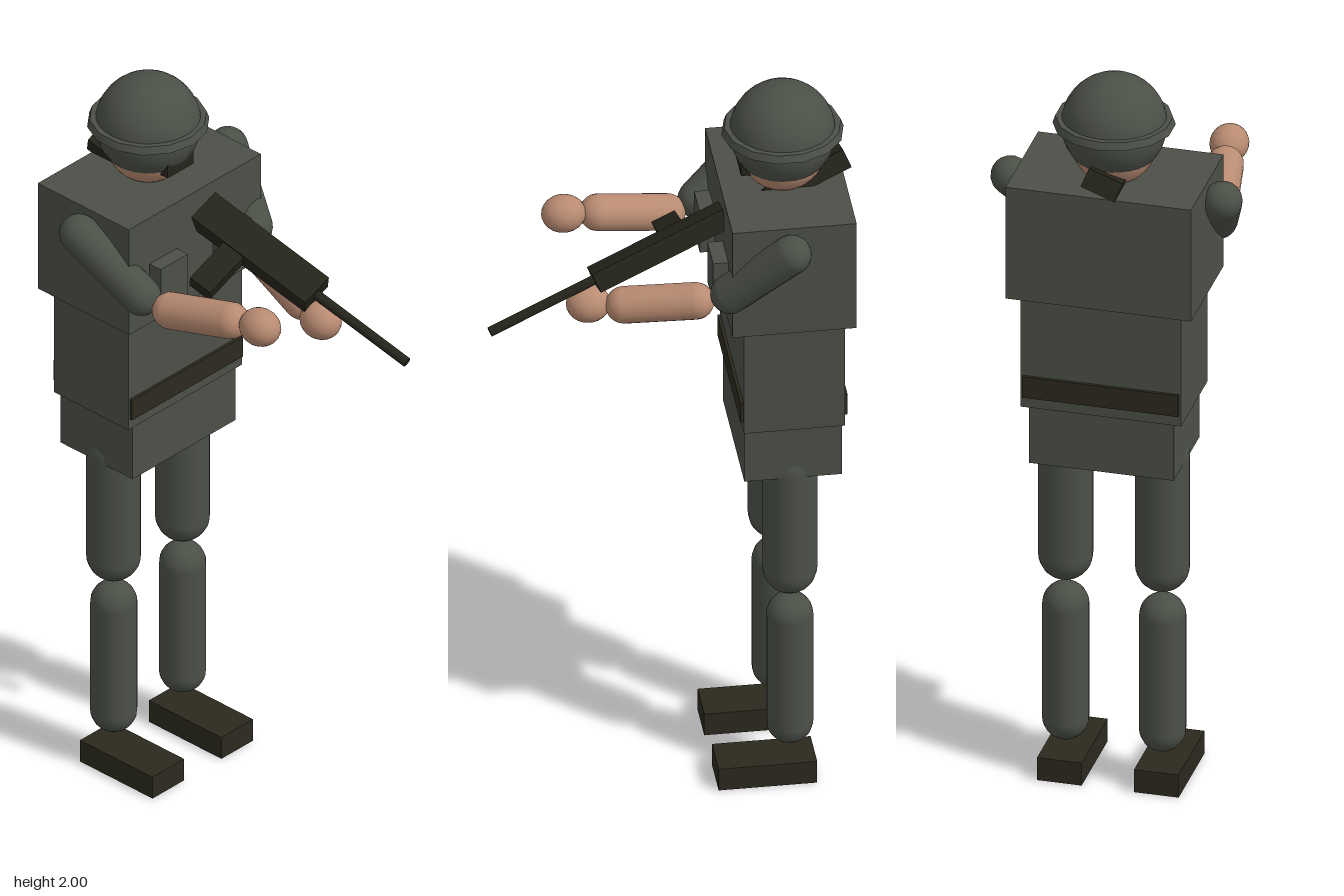
import * as THREE from 'three';

const material = (name, color) => {
  const m = new THREE.MeshStandardMaterial({ color });
  m.name = name;
  return m;
};

export function createModel() {
  const cloth = material('grey green cloth', 0x4b5047);
  const skin = material('skin', 0xb98b72);
  const leather = material('dark leather', 0x2b291e);
  const gunmetal = material('dark gunmetal', 0x25241b);

  const model = new THREE.Group();
  model.name = 'standingFigure';
  const BODY_Z = -0.302;

  const add = (name, geometry, mat, x, y, z, parent = model) => {
    const mesh = new THREE.Mesh(geometry, mat);
    mesh.name = name;
    mesh.position.set(x, y, z);
    parent.add(mesh);
    return mesh;
  };
  const box = (name, w, h, d, mat, x, y, z, parent) =>
    add(name, new THREE.BoxGeometry(w, h, d), mat, x, y, z, parent);

  // Capsule whose end-cap centres sit at a and b
  const limb = (name, a, b, r, mat) => {
    const start = new THREE.Vector3(...a);
    const end = new THREE.Vector3(...b);
    const dir = end.clone().sub(start);
    const mid = start.clone().add(end).multiplyScalar(0.5);
    const mesh = add(name, new THREE.CapsuleGeometry(r, dir.length(), 8, 18), mat, mid.x, mid.y, mid.z);
    mesh.quaternion.setFromUnitVectors(new THREE.Vector3(0, 1, 0), dir.normalize());
    return mesh;
  };

  // Torso
  box('chest', 0.486, 0.317, 0.317, cloth, 0, 1.57, -0.298);
  box('abdomen', 0.42, 0.32, 0.258, cloth, 0, 1.255, BODY_Z);
  box('belt', 0.408, 0.06, 0.274, leather, 0, 1.155, BODY_Z);
  box('pelvis', 0.38, 0.165, 0.25, cloth, 0, 1.018, BODY_Z);

  // Head and helmet
  add('head', new THREE.SphereGeometry(0.11, 24, 16), skin, 0, 1.815, BODY_Z);
  add('helmet', new THREE.SphereGeometry(0.135, 28, 20), cloth, 0, 1.865, BODY_Z);
  add('helmetBrim', new THREE.CylinderGeometry(0.149, 0.156, 0.02, 14), cloth, 0, 1.877, BODY_Z);
  box('chinStrap', 0.096, 0.036, 0.04, gunmetal, 0, 1.788, -0.209);

  // Chest pouches, legs and boots, mirrored
  for (const [side, s] of [['left', 1], ['right', -1]]) {
    box(side + 'Pouch', 0.1, 0.12, 0.045, cloth, s * 0.117, 1.53, -0.123);
    limb(side + 'Thigh', [s * 0.127, 0.94, BODY_Z], [s * 0.127, 0.626, BODY_Z], 0.07, cloth);
    limb(side + 'Shin', [s * 0.127, 0.482, BODY_Z], [s * 0.127, 0.16, BODY_Z], 0.06, cloth);
    box(side + 'Boot', 0.117, 0.064, 0.252, leather, s * 0.127, 0.032, -0.238);
  }

  // Arms, posed differently on each side
  const arms = [
    ['left', [0.276, 1.672, -0.285], [0.212, 1.525, -0.138],
      [0.17, 1.484, -0.055], [0.122, 1.457, 0.12], [0.095, 1.452, 0.208]],
    ['right', [-0.278, 1.672, -0.28], [-0.222, 1.53, -0.117],
      [-0.2, 1.512, -0.035], [-0.17, 1.548, 0.145], [-0.157, 1.562, 0.235]],
  ];
  for (const [side, shoulder, elbow, foreStart, foreEnd, palm] of arms) {
    limb(side + 'UpperArm', shoulder, elbow, 0.051, cloth);
    limb(side + 'Forearm', foreStart, foreEnd, 0.048, skin);
    const hand = add(side + 'Hand', new THREE.SphereGeometry(0.05, 20, 14), skin, ...palm);
    hand.scale.set(1, 0.98, 1.14);
  }

  // Rifle: built along local z with its origin at the front of the body, then tilted
  const rifle = new THREE.Group();
  rifle.name = 'rifle';
  rifle.position.set(0.095, 1.522, 0.194);
  rifle.rotation.set(0.363, 0.149, 0.34);
  model.add(rifle);
  box('rifleBody', 0.094, 0.052, 0.71, gunmetal, 0, 0, -0.355, rifle);
  box('rifleMagazine', 0.15, 0.042, 0.066, gunmetal, -0.105, 0, -0.235, rifle);
  const barrel = add('rifleBarrel', new THREE.CylinderGeometry(0.013, 0.013, 0.31, 12), gunmetal, 0, 0, 0.14, rifle);
  barrel.rotation.x = Math.PI / 2;

  return model;
}
